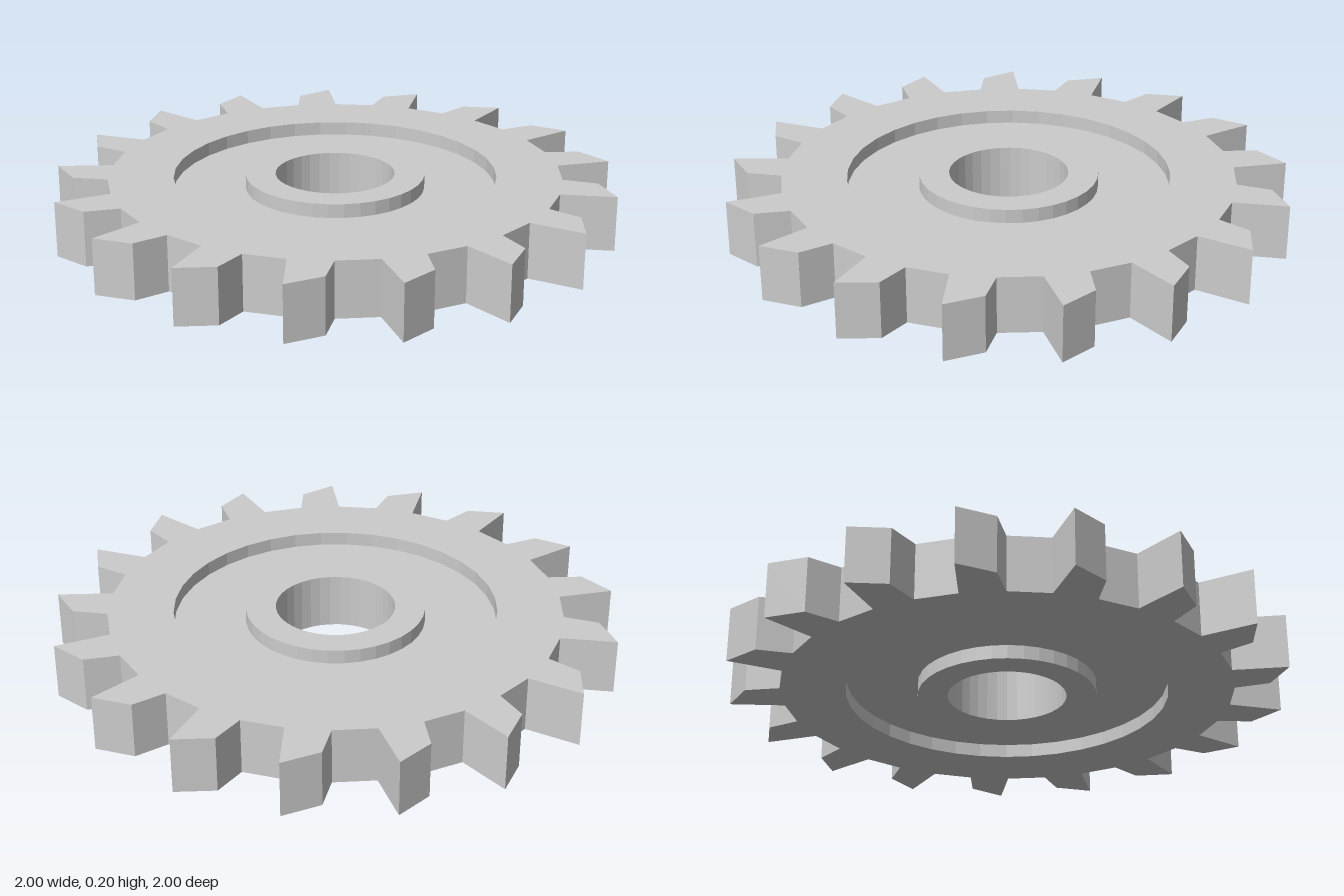
import * as THREE from 'three';

const TEETH = 17;
const SEGMENTS = 36;
const HEIGHT = 0.2;
const RECESS = 0.05;
const RIM = 0.576, BOSS = 0.32, BORE = 0.213;

// Point at a radius and a clockwise angle in degrees from the back.
function polar(radius, degrees) {
  const a = THREE.MathUtils.degToRad(degrees);
  return new THREE.Vector2(radius * Math.sin(a), radius * Math.cos(a));
}

// Toothed ring; the wall of its round opening is left to the web and hub.
function toothedRingGeometry() {
  const pitch = 360 / TEETH;
  const tooth = [[0.809, 5.2], [0.932, 6.9], [1.0045, 14.2], [0.809, 15.9]];
  const outline = [];
  for (let i = 0; i < TEETH; i++) {
    for (const [r, a] of tooth) outline.push(polar(r, a + i * pitch));
  }
  const opening = [];
  for (let i = 0; i < SEGMENTS; i++) opening.push(polar(RIM, (-i * 360) / SEGMENTS));

  const shape = new THREE.Shape(outline);
  shape.holes.push(new THREE.Path(opening));
  const extruded = new THREE.ExtrudeGeometry(shape, { depth: HEIGHT, bevelEnabled: false });

  // The opening's wall comes last, six vertices per segment.
  const positions = extruded.attributes.position.array;
  const kept = positions.slice(0, positions.length - SEGMENTS * 18);
  const geometry = new THREE.BufferGeometry();
  geometry.setAttribute('position', new THREE.BufferAttribute(kept, 3));
  geometry.rotateX(-Math.PI / 2);
  geometry.computeVertexNormals();
  return geometry;
}

// Recess walls, thin web, raised boss and bore, the same above and below.
function hubGeometry() {
  const upper = [
    [RIM, HEIGHT], [RIM, HEIGHT - RECESS], [BOSS, HEIGHT - RECESS], [BOSS, HEIGHT], [BORE, HEIGHT],
  ];
  const lower = upper.map(([r, y]) => [r, HEIGHT - y]).reverse();
  const profile = [...upper, ...lower].map(([r, y]) => new THREE.Vector2(r, y));
  return new THREE.LatheGeometry(profile, SEGMENTS);
}

export function createModel() {
  const material = new THREE.MeshStandardMaterial({ color: 0xcccccc, flatShading: true });
  const gear = new THREE.Group();
  gear.name = 'gear';

  const parts = { toothedRing: toothedRingGeometry(), webAndHub: hubGeometry() };
  for (const [name, geometry] of Object.entries(parts)) {
    const mesh = new THREE.Mesh(geometry, material);
    mesh.name = name;
    mesh.position.set(0.004, 0, -0.003);
    gear.add(mesh);
  }
  return gear;
}
